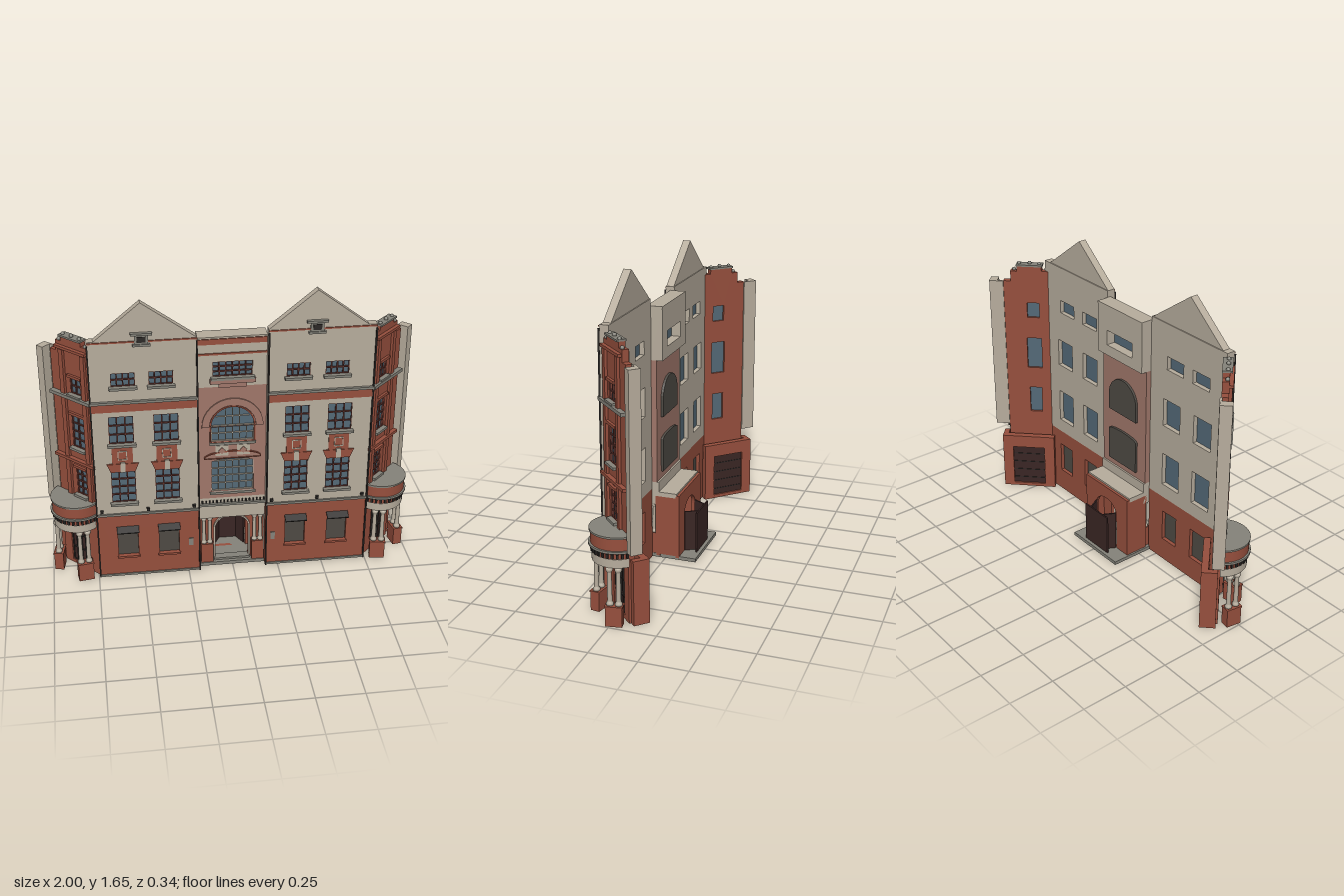
import * as THREE from 'three';

const mat = (name, color) => Object.assign(new THREE.MeshStandardMaterial({ color }), { name });

export function createModel() {
  const cream = mat('cream stucco', 0xb7ad9d), red = mat('red brick', 0x964f3d), brick = mat('pale brick', 0xa0776a),
    grey = mat('grey stone', 0x85837a), dark = mat('black iron', 0x2b2826), glass = mat('glass', 0x546977),
    frame = mat('window frame', 0x5e332d), door = mat('door', 0x3a2624), shutter = mat('shutter', 0x4e4a44);
  const root = new THREE.Group();
  root.name = 'building';

  const add = (g, name, geo, m) => {
    const mesh = new THREE.Mesh(geo, m);
    mesh.name = name;
    g.add(mesh);
    return mesh;
  };
  // box from its extents
  const box = (g, name, m, x0, x1, y0, y1, z0, z1) => {
    const b = add(g, name, new THREE.BoxGeometry(Math.abs(x1 - x0), y1 - y0, z1 - z0), m);
    b.position.set((x0 + x1) / 2, (y0 + y1) / 2, (z0 + z1) / 2);
    return b;
  };
  const poly = pts => pts.map(p => new THREE.Vector2(p[0], p[1]));
  const rect = (x, w, y0, y1) => poly([[x - w / 2, y0], [x + w / 2, y0], [x + w / 2, y1], [x - w / 2, y1]]);
  // opening with a curved head rising from y1 to y1 + rise
  const arch = (x, w, y0, y1, rise) => {
    const pts = [[x - w / 2, y0], [x + w / 2, y0]];
    for (let i = 0; i <= 16; i++) {
      const a = Math.PI * i / 16;
      pts.push([x + Math.cos(a) * w / 2, y1 + Math.sin(a) * rise]);
    }
    return poly(pts);
  };
  const slab = (g, name, m, outline, holes, z0, z1) => {
    const s = new THREE.Shape(outline);
    holes.forEach(h => s.holes.push(new THREE.Path(h)));
    const mesh = add(g, name, new THREE.ExtrudeGeometry(s, { depth: z1 - z0, bevelEnabled: false }), m);
    mesh.position.z = z0;
    return mesh;
  };
  // glazing bars across a rectangle
  const bars = (g, m, x, w, y0, y1, z, cols, rows, t = 0.005) => {
    for (let i = 0; i <= cols; i++) {
      const bx = x - w / 2 + w * i / cols;
      box(g, 'windowBar', m, bx - t / 2, bx + t / 2, y0, y1, z - 0.004, z + 0.004);
    }
    for (let j = 0; j <= rows; j++) {
      const by = y0 + (y1 - y0) * j / rows;
      box(g, 'windowBar', m, x - w / 2, x + w / 2, by - t / 2, by + t / 2, z - 0.004, z + 0.004);
    }
  };
  const windowUnit = (g, x, w, y0, y1, z, cols, rows) => {
    box(g, 'windowGlass', glass, x - w / 2, x + w / 2, y0, y1, z - 0.016, z - 0.008);
    bars(g, frame, x, w, y0, y1, z, cols, rows, 0.007);
    box(g, 'windowSill', grey, x - w / 2 - 0.01, x + w / 2 + 0.01, y0 - 0.014, y0, z, z + 0.03);
  };
  const column = (g, x, z, y0, y1, r) => {
    const p = [[0, 0], [1.5, 0], [1.5, 0.05], [1.05, 0.09], [1, 0.12], [0.85, 0.86], [1.2, 0.89], [1.5, 0.93], [1.5, 1], [0, 1]];
    const c = add(g, 'column', new THREE.LatheGeometry(poly(p.map(q => [q[0] * r, q[1] * (y1 - y0)])), 14), cream);
    c.position.set(x, y0, z);
  };

  // gabled wings
  const wing = (name, x0, x1, top, gable, win, topWin, ground) => {
    const g = new THREE.Group(), B = 0.075, F = 0.122;
    g.name = name;
    root.add(g);
    slab(g, 'groundFloorWall', red, rect((x0 + x1) / 2, x1 - x0, 0, 0.4), ground.map(x => rect(x, 0.11, 0.13, 0.31)), B, F);
    slab(g, 'upperWall', cream, rect((x0 + x1) / 2, x1 - x0, 0.4, top),
      [...win.flatMap(x => [rect(x, 0.13, 0.48, 0.67), rect(x, 0.13, 0.84, 1.0)]), ...topWin.map(x => rect(x, 0.125, 1.175, 1.25))], B, F);
    slab(g, 'gable', cream, poly([[gable[0], top], [gable[1], top], [gable[2], gable[3]]]), [], B + 0.005, F);
    box(g, 'groundCornice', grey, x0, x1, 0.395, 0.408, F, F + 0.01);
    box(g, 'redBand', red, x0, x1, 1.03, 1.075, F, F + 0.006);
    box(g, 'upperCornice', grey, x0, x1, 1.078, 1.092, F, F + 0.016);
    box(g, 'eavesLine', red, x0, x1, top - 0.012, top - 0.004, F, F + 0.005);
    box(g, 'plinth', grey, x0, x1, 0, 0.012, F, F + 0.006);
    for (const x of win) {
      windowUnit(g, x, 0.13, 0.48, 0.67, F - 0.006, 3, 4);
      windowUnit(g, x, 0.13, 0.84, 1.0, F - 0.006, 3, 3);
      slab(g, 'flaredLintel', red, poly([[x - 0.065, 0.67], [x + 0.065, 0.67], [x + 0.085, 0.72], [x - 0.085, 0.72]]), [], F, F + 0.008);
      box(g, 'keystone', cream, x - 0.013, x + 0.013, 0.67, 0.73, F, F + 0.013);
      box(g, 'spandrelPanel', red, x - 0.055, x + 0.055, 0.72, 0.825, F, F + 0.005);
      bars(g, cream, x, 0.045, 0.745, 0.795, F + 0.005, 1, 1);
    }
    for (const x of topWin) windowUnit(g, x, 0.125, 1.175, 1.25, F - 0.006, 4, 2);
    for (const x of ground) {
      box(g, 'groundShutter', shutter, x - 0.055, x + 0.055, 0.13, 0.31, F - 0.026, F - 0.016);
      box(g, 'shutterSill', red, x - 0.062, x + 0.062, 0.118, 0.13, F, F + 0.01);
      const a = box(g, 'awning', dark, x - 0.06, x + 0.06, 0.305, 0.313, F - 0.002, F + 0.042);
      a.rotation.x = 0.45;
    }
    // gable vent with a small hood
    const gx = gable[2], gy = top - 0.02;
    box(g, 'ventFrame', grey, gx - 0.035, gx + 0.035, gy, gy + 0.05, F, F + 0.01);
    box(g, 'ventOpening', dark, gx - 0.022, gx + 0.022, gy + 0.01, gy + 0.04, F + 0.01, F + 0.014);
    box(g, 'ventHood', grey, gx - 0.055, gx + 0.055, gy + 0.05, gy + 0.062, F, F + 0.02);
    box(g, 'ventSill', grey, gx - 0.045, gx + 0.045, gy - 0.012, gy, F, F + 0.015);
    // drainpipes and wall lamps
    for (const x of [x0 + 0.003, x1 - 0.003]) box(g, 'drainpipe', dark, x - 0.004, x + 0.004, 0, top - 0.02, F, F + 0.01);
    for (const x of [x0 + 0.03, (x0 + x1) / 2, x1 - 0.03]) box(g, 'wallLamp', dark, x - 0.008, x + 0.008, 0.42, 0.435, F, F + 0.015);
    const px = x0 < 0 ? x1 - 0.05 : x0 + 0.04;
    box(g, 'wallPlaque', grey, px - 0.012, px + 0.012, 0.17, 0.215, F, F + 0.006);
  };
  wing('rightWing', -0.745, -0.185, 1.43, [-0.71, -0.19, -0.468, 1.63], [-0.59, -0.355], [-0.57, -0.375], [-0.58, -0.355]);
  wing('leftWing', 0.18, 0.745, 1.447, [0.18, 0.7, 0.43, 1.65], [0.34, 0.57], [0.34, 0.545], [0.345, 0.58]);

  // recessed centre bay
  const c = new THREE.Group(), X0 = -0.185, X1 = 0.18, F = 0.085;
  c.name = 'centreBay';
  root.add(c);
  slab(c, 'brickWall', brick, rect(-0.0025, 0.365, 0.44, 1.12),
    [arch(0, 0.23, 0.48, 0.665, 0.02), arch(0, 0.23, 0.79, 0.885, 0.115)], 0.045, F);
  slab(c, 'topWall', cream, rect(-0.0025, 0.365, 1.12, 1.4), [rect(0, 0.21, 1.18, 1.265)], 0.012, F);
  slab(c, 'lowerWindowGlass', glass, arch(0, 0.23, 0.48, 0.665, 0.02), [], 0.062, 0.07);
  slab(c, 'archWindowGlass', glass, arch(0, 0.23, 0.79, 0.885, 0.115), [], 0.062, 0.07);
  slab(c, 'lowerWindowBack', shutter, arch(0, 0.23, 0.48, 0.665, 0.02), [], 0.032, 0.05);
  slab(c, 'archWindowBack', shutter, arch(0, 0.23, 0.79, 0.885, 0.115), [], 0.032, 0.05);
  bars(c, cream, 0, 0.225, 0.485, 0.67, 0.076, 6, 4, 0.004);
  bars(c, cream, 0, 0.225, 0.795, 0.885, 0.076, 6, 2, 0.004);
  for (const x of [-0.0375, 0, 0.0375]) box(c, 'archBar', cream, x - 0.002, x + 0.002, 0.885, 0.99, 0.072, 0.08);
  box(c, 'archBar', cream, -0.09, 0.09, 0.938, 0.942, 0.072, 0.08);
  // arched mouldings
  slab(c, 'archMoulding', brick, arch(0, 0.33, 0.885, 0.886, 0.165), [arch(0, 0.25, 0.8855, 0.886, 0.125)], F, F + 0.008);
  slab(c, 'archRim', red, arch(0, 0.245, 0.79, 0.885, 0.1225), [arch(0, 0.23, 0.791, 0.885, 0.115)], F, F + 0.006);
  slab(c, 'segmentMoulding', red, arch(0, 0.31, 0.69, 0.695, 0.042), [arch(0, 0.3, 0.691, 0.695, 0.034)], F, F + 0.008);
  box(c, 'archSill', grey, -0.125, 0.125, 0.775, 0.79, F, F + 0.012);
  box(c, 'lowerSill', grey, -0.125, 0.125, 0.467, 0.48, F, F + 0.012);
  for (const x of [-0.058, 0.058]) {
    box(c, 'ornamentPanel', cream, x - 0.035, x + 0.035, 0.708, 0.77, F, F + 0.006);
    const d = box(c, 'ornamentDiamond', brick, x - 0.014, x + 0.014, 0.725, 0.753, F + 0.006, F + 0.01);
    d.rotation.z = Math.PI / 4;
  }
  windowUnit(c, 0, 0.21, 1.18, 1.265, F - 0.006, 6, 3);
  box(c, 'balconyLedge', brick, -0.12, 0.12, 1.145, 1.168, F, F + 0.02);
  box(c, 'balconyCorbel', brick, -0.075, 0.075, 1.12, 1.145, F, F + 0.012);
  box(c, 'topRedBand', red, X0, X1, 1.365, 1.395, F, F + 0.006);
  box(c, 'thinRedBand', red, X0, X1, 1.305, 1.315, F, F + 0.006);
  box(c, 'topCoping', cream, X0, X1, 1.4, 1.41, 0.01, F + 0.012);

  // entrance porch running through to the back
  box(c, 'entranceBeam', cream, X0, X1, 0.31, 0.44, 0.035, F);
  box(c, 'beamCornice', grey, X0, X1, 0.395, 0.408, F, F + 0.015);
  for (let i = 0; i < 18; i++) box(c, 'dentil', dark, -0.17 + i * 0.02, -0.162 + i * 0.02, 0.412, 0.425, F, F + 0.009);
  box(c, 'porchRoof', cream, X0, X1, 0.36, 0.385, -0.065, 0.035);
  for (const x of [X0, X1 - 0.02]) box(c, 'porchSideWall', red, x, x + 0.02, 0.02, 0.36, -0.065, F - 0.03);
  const doorway = [arch(0, 0.185, 0.02, 0.225, 0.08)];
  slab(c, 'porchBackWall', red, rect(-0.0025, 0.365, 0.01, 0.375), doorway, -0.08, -0.06);
  slab(c, 'porchFrontWall', red, rect(-0.0025, 0.365, 0.01, 0.31), doorway, 0.03, 0.05);
  slab(c, 'doorSurround', cream, arch(0, 0.205, 0.02, 0.225, 0.085), [arch(0, 0.185, 0.021, 0.225, 0.078)], 0.05, 0.06);
  box(c, 'porchFloor', grey, -0.195, 0.178, 0, 0.02, -0.172, F + 0.01);
  box(c, 'frontStep', grey, -0.1, 0.1, 0.02, 0.032, 0.03, 0.075);
  box(c, 'doorScreen', door, -0.1, 0.095, 0.02, 0.25, -0.153, -0.145);
  for (const s of [-1, 1]) {
    const leaf = box(c, 'openDoor', door, s * 0.07 - 0.004, s * 0.07 + 0.004, 0.02, 0.25, -0.148, -0.076);
    leaf.rotation.y = -s * -0.5;
    box(c, 'columnPedestal', red, s * 0.108, s * 0.176, 0.02, 0.14, 0.05, F + 0.005);
    for (const x of [0.125, 0.158]) column(c, s * x, 0.07, 0.14, 0.31, 0.0105);
  }

  // corner turrets, set at 45 degrees
  for (const s of [-1, 1]) {
    const g = new THREE.Group(), u0 = -0.046 * s, W = -0.01;
    g.name = s > 0 ? 'leftTurret' : 'rightTurret';
    g.position.set(s * 0.85, 0, 0.01);
    g.rotation.y = s * Math.PI / 4;
    root.add(g);
    const storeys = [[0.49, 0.65, 0.07, 4], [0.78, 0.97, 0.085, 4], [1.1, 1.19, 0.07, 2]];
    const outline = [[-0.165, 0], [0.12, 0], [0.12, 1.32], [0.078, 1.32], [0.078, 1.38], [0.04, 1.38], [0.04, 1.41],
      [-0.1, 1.41], [-0.1, 1.385], [-0.165, 1.385]].map(p => [p[0] * s, p[1]]);
    slab(g, 'turretWall', red, poly(outline),
      [...storeys.map(t => rect(u0, t[2], t[0], t[1])), rect(0, 0.13, 0.02, 0.29)], W - 0.035, W);
    for (const [y0, y1, w, rows] of storeys) {
      windowUnit(g, u0, w, y0, y1, W - 0.006, 2, rows);
      box(g, 'windowHood', red, u0 - w / 2 - 0.012, u0 + w / 2 + 0.012, y1 + 0.003, y1 + 0.018, W, W + 0.014);
    }
    for (const u of [-0.115, 0.035]) box(g, 'pilaster', red, u * s - 0.014, u * s + 0.014, 0.4, 1.34, W, W + 0.015);
    box(g, 'lowerCornice', red, -0.16 * s, 0.12 * s, 0.695, 0.712, W, W + 0.024);
    box(g, 'upperCornice', grey, -0.16 * s, 0.12 * s, 1.072, 1.09, W, W + 0.028);
    box(g, 'parapetBand', red, -0.14 * s, 0.075 * s, 1.345, 1.36, W, W + 0.02);
    box(g, 'parapetCoping', grey, -0.105 * s, 0.045 * s, 1.41, 1.42, W - 0.038, W + 0.012);
    for (const [u, y] of [[-0.085, 1.42], [-0.03, 1.425], [0.03, 1.42], [0.06, 1.385], [-0.125, 1.39]]) {
      add(g, 'parapetKnob', new THREE.SphereGeometry(0.011, 10, 8), grey).position.set(u * s, y, W - 0.01);
    }
    // end pier
    box(g, 'endWall', cream, 0.12 * s, 0.16 * s, 0.4, 1.32, W - 0.042, W - 0.03);
    box(g, 'endPier', cream, 0.155 * s, 0.2 * s, 0.4, 1.32, -0.05, 0.012);
    // half-round balcony
    const half = (name, m, r, y0, y1) => {
      const h = add(g, name, new THREE.CylinderGeometry(r, r, y1 - y0, 28, 1, false, -Math.PI / 2, Math.PI), m);
      h.position.set(0, (y0 + y1) / 2, W);
    };
    half('balconyArchitrave', cream, 0.132, 0.31, 0.355);
    half('dentilCourse', red, 0.13, 0.355, 0.39);
    half('balconyCornice', grey, 0.148, 0.39, 0.402);
    half('balconyParapet', red, 0.138, 0.402, 0.465);
    half('balconyCoping', grey, 0.144, 0.465, 0.475);
    for (let i = 0; i < 17; i++) {
      const a = -1.5 + i * 3 / 16;
      const d = box(g, 'dentil', dark, -0.006, 0.006, 0.36, 0.383, -0.007, 0.007);
      d.position.x = Math.sin(a) * 0.132;
      d.position.z = W + Math.cos(a) * 0.132;
      d.rotation.y = a;
    }
    // paired columns on pedestals
    for (const t of [-1, 1]) {
      const p = new THREE.Group();
      p.name = 'columnPair';
      p.position.set(t * 0.098, 0, W + 0.068);
      p.rotation.y = t * 0.95;
      g.add(p);
      box(p, 'pedestal', red, -0.042, 0.042, 0, 0.1, -0.025, 0.025);
      box(p, 'pedestalCap', red, -0.045, 0.045, 0.1, 0.108, -0.028, 0.028);
      for (const x of [-0.022, 0.022]) column(p, x, 0, 0.108, 0.31, 0.0125);
    }
    // front and rear doors of the ground floor
    box(g, 'turretDoor', door, -0.065, 0.065, 0.02, 0.29, W - 0.025, W - 0.015);
    bars(g, dark, 0, 0.13, 0.02, 0.29, W - 0.01, 4, 3);
    slab(g, 'rearWall', red, rect(0, 0.31, 0, 0.345), [rect(0, 0.19, 0.02, 0.27)], -0.105, -0.068);
    box(g, 'rearDoor', door, -0.095, 0.095, 0.02, 0.27, -0.095, -0.085);
    for (let i = 1; i < 5; i++) box(g, 'rearDoorRail', dark, -0.095, 0.095, i * 0.055, i * 0.055 + 0.004, -0.098, -0.094);
    box(g, 'outerSideWall', red, 0.125 * s, 0.155 * s, 0, 0.345, -0.07, W - 0.01);
  }
  return root;
}
